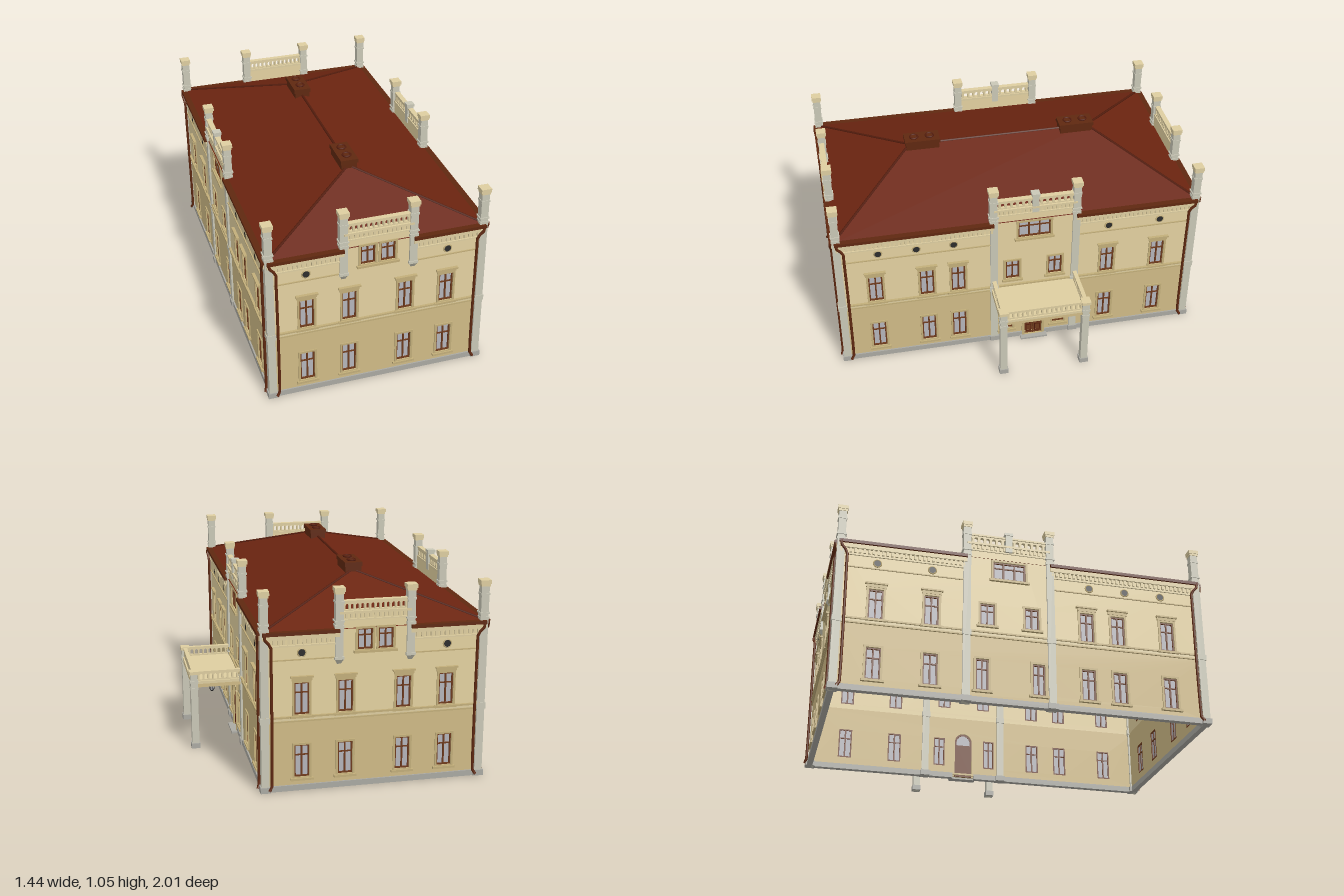
import * as THREE from 'three';
import { mergeGeometries } from 'three/addons/utils/BufferGeometryUtils.js';

const C = { lower: 0xcfba86, upper: 0xe3d1a0, trim: 0xc2ae7a, cream: 0xddcda0, stone: 0xc9c7b6, plinth: 0xaaa9a2,
  wood: 0x6e3a1c, glass: 0xb4b4ba, roof: 0x6b2410, tile: 0x551d0d, pipe: 0x5f2810, dark: 0x2c2c2c };

// Collects geometries per part name and merges each part into one mesh
function collector(name) {
  const parts = new Map();
  return {
    add(part, color, ...geos) {
      if (!parts.has(part)) parts.set(part, { color, list: [] });
      for (const g of geos) {
        const n = g.index ? g.toNonIndexed() : g;
        n.deleteAttribute('uv');
        parts.get(part).list.push(n);
      }
    },
    build() {
      const group = new THREE.Group();
      group.name = name;
      for (const [part, { color, list }] of parts) {
        const mat = new THREE.MeshStandardMaterial({ color, side: THREE.DoubleSide });
        const mesh = new THREE.Mesh(mergeGeometries(list), mat);
        mesh.name = part;
        group.add(mesh);
      }
      return group;
    },
  };
}

const box = (x0, x1, y0, y1, z0, z1) =>
  new THREE.BoxGeometry(x1 - x0, y1 - y0, z1 - z0).translate((x0 + x1) / 2, (y0 + y1) / 2, (z0 + z1) / 2);
const post = (x, z, w, y0, y1) => box(x - w / 2, x + w / 2, y0, y1, z - w / 2, z + w / 2);
const poly = (pts, T = THREE.Shape) => new T(pts.map((p) => new THREE.Vector2(...p)));
const rect = (x0, x1, y0, y1, T) => poly([[x0, y0], [x1, y0], [x1, y1], [x0, y1]], T);
const extrude = (shape, z0, z1) =>
  new THREE.ExtrudeGeometry(shape, { depth: z1 - z0, bevelEnabled: false, curveSegments: 8 }).translate(0, 0, z0);
function arch(u, w, y0, y1, T = THREE.Shape) {
  const s = new T();
  s.moveTo(u - w / 2, y0);
  s.lineTo(u + w / 2, y0);
  s.lineTo(u + w / 2, y1 - w / 2);
  s.absarc(u, y1 - w / 2, w / 2, 0, Math.PI, false);
  s.closePath();
  return s;
}
function ring(u0, u1, y0, y1, t) { // rectangular frame, t wide, around an opening
  const s = rect(u0 - t, u1 + t, y0 - t, y1 + t);
  s.holes.push(rect(u0, u1, y0, y1, THREE.Path));
  return s;
}
function arcade(u0, u1, y0, y1, n, z0, z1) { // pierced parapet with round arches
  const s = rect(u0, u1, y0, y1), step = (u1 - u0) / n;
  for (let i = 0; i < n; i++) s.holes.push(arch(u0 + (i + 0.5) * step, step * 0.62, y0 + 0.008, y1 - 0.01, THREE.Path));
  return extrude(s, z0, z1);
}
function rod(a, b, r) {
  const path = new THREE.LineCurve3(new THREE.Vector3(...a), new THREE.Vector3(...b));
  return new THREE.TubeGeometry(path, 1, r, 6);
}
function dentils(u0, u1, y0, y1, z0, z1) {
  const n = Math.round((u1 - u0) / 0.024), step = (u1 - u0) / n, out = [];
  for (let i = 0; i < n; i++) out.push(box(u0 + (i + 0.25) * step, u0 + (i + 0.75) * step, y0, y1, z0, z1));
  return out;
}

// Window: opening centred on u, with glazing, casement, moulded surround, sill and optional hood
function addWindow(c, d, { u, y0, y1, w = 0.075, panes = 2, hood }) {
  const a = u - w / 2, b = u + w / 2, split = y0 + (y1 - y0) * 0.68;
  c.add('windowGlass', C.glass, box(a, b, y0, y1, d - 0.014, d - 0.011));
  c.add('windowFrames', C.wood, extrude(ring(a + 0.007, b - 0.007, y0 + 0.007, y1 - 0.007, 0.007), d - 0.02, d - 0.003),
    box(a, b, split - 0.003, split + 0.003, d - 0.018, d - 0.005));
  for (let i = 1; i < panes; i++) {
    const m = a + (w * i) / panes;
    c.add('windowFrames', C.wood, box(m - 0.004, m + 0.004, y0, y1, d - 0.018, d - 0.004));
  }
  c.add('windowSurrounds', C.trim, extrude(ring(a, b, y0, y1, 0.011), d - 0.002, d + 0.006),
    box(a - 0.02, b + 0.02, y0 - 0.016, y0 - 0.004, d, d + 0.014));
  if (hood) c.add('windowSurrounds', C.trim, box(a - 0.014, b + 0.014, y1 + 0.01, y1 + 0.026, d, d + 0.008),
    box(a - 0.02, b + 0.02, y1 + 0.026, y1 + 0.035, d, d + 0.016));
}

// Arched double door with fanlight, surround, shelf and step
function addDoor(c, d, u) {
  const leaf = arch(u, 0.1, 0.01, 0.275);
  leaf.holes.push(arch(u, 0.078, 0.205, 0.264, THREE.Path));
  const frame = arch(u, 0.126, 0.01, 0.29);
  frame.holes.push(arch(u, 0.1, 0.01, 0.275, THREE.Path));
  c.add('door', C.wood, extrude(leaf, d - 0.014, d), box(u - 0.003, u + 0.003, 0.01, 0.27, d, d + 0.004));
  for (const s of [-1, 1]) for (const [y0, y1] of [[0.025, 0.075], [0.085, 0.19]])
    c.add('doorPanels', C.tile, extrude(ring(u + s * 0.025 - 0.012, u + s * 0.025 + 0.012, y0 + 0.004, y1 - 0.004, 0.004), d, d + 0.004));
  c.add('fanlight', C.glass, extrude(arch(u, 0.08, 0.203, 0.266), d - 0.012, d - 0.006));
  c.add('doorSurround', C.trim, extrude(frame, d - 0.01, d + 0.012), box(u - 0.12, u + 0.12, 0.304, 0.315, d, d + 0.025));
  for (const s of [-1, 1]) c.add('doorSurround', C.trim, box(u + s * 0.092 - 0.007, u + s * 0.092 + 0.007, 0.265, 0.304, d, d + 0.016));
  c.add('doorStep', C.plinth, box(u - 0.075, u + 0.075, 0, 0.01, d, d + 0.04));
}

// One wall, drawn facing +z at distance d, then turned into place
function facade({ name, angle, d, u0, u1, gable, windows, oculi, door, middlePost }) {
  const c = collector(name), [g0, g1] = gable, mid = (g0 + g1) / 2;
  const lower = rect(u0, u1, 0.02, 0.37);
  const upper = poly([[u0, 0.37], [u1, 0.37], [u1, 0.825], [g1, 0.825], [g1, 0.91], [g0, 0.91], [g0, 0.825], [u0, 0.825]]);
  for (const w of windows) {
    const h = w.w ?? 0.075;
    (w.y0 < 0.3 ? lower : upper).holes.push(rect(w.u - h / 2, w.u + h / 2, w.y0, w.y1, THREE.Path));
    addWindow(c, d, w);
  }
  if (door !== undefined) {
    lower.holes.push(arch(door, 0.1, 0.03, 0.275, THREE.Path));
    addDoor(c, d, door);
  }
  c.add('groundFloorWall', C.lower, extrude(lower, d - 0.02, d));
  c.add('upperWall', C.upper, extrude(upper, d - 0.02, d));
  // Plinth, left open at the door
  const runs = door === undefined ? [[u0, u1]] : [[u0, door - 0.063], [door + 0.063, u1]];
  for (const [a, b] of runs) c.add('plinth', C.plinth, box(a, b, 0, 0.03, d - 0.022, d + 0.008));
  c.add('stringCourse', C.trim, box(u0, u1, 0.364, 0.372, d, d + 0.008), box(u0, u1, 0.386, 0.395, d, d + 0.012));
  c.add('floorBand', C.cream, box(u0, u1, 0.372, 0.386, d, d + 0.005));
  // Cornice and gutter on both sides of the raised gable
  for (const [a, b] of [[u0, g0], [g1, u1]]) {
    c.add('cornice', C.cream, box(a, b, 0.788, 0.812, d, d + 0.014), box(a, b, 0.75, 0.758, d, d + 0.007),
      ...dentils(a, b, 0.764, 0.788, d, d + 0.01));
    c.add('stringCourse', C.trim, box(a, b, 0.68, 0.686, d, d + 0.006));
    c.add('gutter', C.pipe, box(a, b, 0.811, 0.828, d - 0.02, d + 0.024));
  }
  // Gable frieze and pierced parapet
  c.add('gableParapet', C.cream, box(g0, g1, 0.9, 0.912, d - 0.022, d + 0.012), ...dentils(g0, g1, 0.878, 0.9, d, d + 0.008),
    box(g0, g1, 0.865, 0.872, d, d + 0.006), arcade(g0, g1, 0.91, 0.957, 14, d - 0.016, d + 0.002),
    box(g0, g1, 0.955, 0.965, d - 0.02, d + 0.008));
  if (middlePost) c.add('middlePost', C.stone, post(mid, d - 0.007, 0.036, 0.875, 0.985), post(mid, d - 0.007, 0.044, 0.975, 0.99));
  for (const u of oculi) {
    c.add('oculi', C.dark, new THREE.CylinderGeometry(0.018, 0.018, 0.026, 16).rotateX(Math.PI / 2).translate(u, 0.717, d - 0.01));
    c.add('oculusRings', C.trim, new THREE.TorusGeometry(0.02, 0.004, 6, 16).translate(u, 0.717, d));
  }
  // Downpipes beside the corners
  for (const [e, s] of [[u0, 1], [u1, -1]]) {
    const pts = [[0.008, 0.82, 0.018], [0.012, 0.795, 0.02], [0.04, 0.76, 0.014], [0.042, 0.7, 0.014],
      [0.042, 0.06, 0.014], [0.04, 0.03, 0.015], [0.028, 0.012, 0.022]].map(([u, y, w]) => new THREE.Vector3(e + s * u, y, d + w));
    c.add('downpipes', C.pipe, new THREE.TubeGeometry(new THREE.CatmullRomCurve3(pts, false, 'centripetal'), 30, 0.0075, 8));
  }
  const group = c.build();
  group.rotation.y = angle;
  return group;
}

// Pier with base, rings and cap; a raised start hangs on a tapered corbel
function addPier(c, x, z, y0) {
  c.add('pierShafts', C.stone, post(x, z, 0.04, y0, 1.01));
  if (y0 === 0) c.add('pierBases', C.plinth, post(x, z, 0.052, 0, 0.03));
  else c.add('pierCorbels', C.stone, post(x, z, 0.048, y0, y0 + 0.014),
    new THREE.CylinderGeometry(0.03, 0.014, 0.024, 4).rotateY(Math.PI / 4).translate(x, y0 - 0.012, z));
  const rings = [[0.046, 0.83, 0.845], [0.05, 0.86, 0.868], [0.046, 0.955, 0.965]];
  if (y0 === 0) rings.push([0.048, 0.364, 0.395]);
  for (const r of rings) c.add('pierRings', C.stone, post(x, z, ...r));
  c.add('pierCaps', C.cream, post(x, z, 0.046, 1.0, 1.012), post(x, z, 0.053, 1.012, 1.032));
}

function buildRoof() {
  const c = collector('roof'), e = 0.824, x0 = -0.7, x1 = 0.435, z1 = 0.98, rx = -0.132, rz = 0.5, ry = 1.0;
  const A = [x0, e, z1], B = [x1, e, z1], D = [x1, e, -z1], E = [x0, e, -z1], F = [rx, ry, rz], G = [rx, ry, -rz];
  const tri = [A, B, F, B, D, G, B, G, F, D, E, G, E, A, F, E, F, G];
  const g = new THREE.BufferGeometry();
  g.setAttribute('position', new THREE.Float32BufferAttribute(tri.flat(), 3));
  g.computeVertexNormals();
  c.add('roofSlopes', C.roof, g);
  c.add('ridgeTiles', C.tile, rod(F, G, 0.007), ...[[A, F], [B, F], [D, G], [E, G]].map(([p, q]) => rod(p, q, 0.007)));
  // Chimneys with two round flues each
  for (const z of [-0.43, 0.43]) {
    c.add('chimneys', C.pipe, box(rx - 0.042, rx + 0.042, 0.94, 1.02, z - 0.09, z + 0.09),
      box(rx - 0.047, rx + 0.047, 1.02, 1.042, z - 0.096, z + 0.096));
    for (const s of [-1, 1]) {
      c.add('flueRims', C.tile, new THREE.TorusGeometry(0.021, 0.005, 6, 16).rotateX(Math.PI / 2).translate(rx, 1.046, z + s * 0.043));
      c.add('flues', C.pipe, new THREE.CylinderGeometry(0.02, 0.02, 0.008, 16).translate(rx, 1.043, z + s * 0.043));
    }
  }
  return c.build();
}

function buildPorch() {
  const c = collector('porch'), x0 = 0.43, x1 = 0.69, za = -0.308, zb = 0.14;
  c.add('deck', C.cream, box(x0, x1 + 0.015, 0.365, 0.38, za - 0.015, zb + 0.015));
  c.add('beams', C.lower, box(x1 - 0.015, x1 + 0.012, 0.345, 0.366, za, zb),
    ...[za, zb].map((z) => box(x0, x1, 0.345, 0.366, z - 0.013, z + 0.013)));
  // Balustrade along three sides
  c.add('balustrade', C.cream, arcade(x0, x1, 0.38, 0.428, 10, -0.007, 0.007).translate(0, 0, za),
    arcade(x0, x1, 0.38, 0.428, 10, -0.007, 0.007).translate(0, 0, zb),
    arcade(-zb, -za, 0.38, 0.428, 17, -0.007, 0.007).rotateY(Math.PI / 2).translate(x1, 0, 0),
    ...[za, zb].map((z) => box(x0, x1, 0.424, 0.434, z - 0.011, z + 0.011)),
    box(x1 - 0.011, x1 + 0.011, 0.424, 0.434, za, zb));
  for (const z of [za, zb]) {
    c.add('porchPosts', C.stone, post(x1, z, 0.038, 0, 0.425), post(x1, z, 0.044, 0.335, 0.345), post(x1, z, 0.044, 0.372, 0.382));
    c.add('porchPostBases', C.plinth, post(x1, z, 0.048, 0, 0.028));
    c.add('porchPostCaps', C.cream, post(x1, z, 0.05, 0.42, 0.437));
  }
  // Hanging lantern
  const lx = 0.567, lz = -0.084, cyl = (r1, r0, y0, y1) => new THREE.CylinderGeometry(r1, r0, y1 - y0, 6).translate(lx, (y0 + y1) / 2, lz);
  c.add('lanternFrame', C.dark, cyl(0.0015, 0.0015, 0.295, 0.366), cyl(0.004, 0.019, 0.28, 0.298), cyl(0.012, 0.008, 0.238, 0.245));
  for (let i = 0; i < 6; i++) {
    const a = (i * Math.PI) / 3, p = (r, y) => [lx + r * Math.sin(a), y, lz + r * Math.cos(a)];
    c.add('lanternFrame', C.dark, rod(p(0.011, 0.243), p(0.017, 0.281), 0.002));
  }
  c.add('lanternGlass', C.glass, cyl(0.016, 0.01, 0.245, 0.28));
  return c.build();
}

export function createModel() {
  const model = new THREE.Group();
  model.name = 'villa';
  const low = (u) => ({ u, y0: 0.07, y1: 0.24 }), high = (u) => ({ u, y0: 0.4, y1: 0.565, hood: true });

  // Short ends: s mirrors positions for the back
  for (const s of [1, -1]) {
    const cols = [-0.5, -0.28, 0.015, 0.235].map((u) => u * s), span = (a, b) => [a * s, b * s].sort((p, q) => p - q);
    const [u0, u1] = span(-0.695, 0.43);
    model.add(facade({ name: s > 0 ? 'frontWall' : 'backWall', angle: s > 0 ? 0 : Math.PI, d: 0.975, u0, u1, gable: span(-0.31, 0.05),
      windows: [...cols.map(low), ...cols.map(high), ...[-0.185, -0.081].map((u) => ({ u: u * s, y0: 0.715, y1: 0.82 }))],
      oculi: [-0.5 * s, 0.235 * s] }));
  }
  // Long sides: the right one has the entrance
  for (const s of [-1, 1]) {
    const right = s < 0, cols = [0.78, 0.505, 0.335, -0.49, -0.775].map((z) => z * s);
    const bay = [0.07, -0.225].map((z) => z * s), gable = [0.14 * s, -0.308 * s].sort((p, q) => p - q);
    model.add(facade({ name: right ? 'rightWall' : 'leftWall', angle: right ? Math.PI / 2 : -Math.PI / 2, d: right ? 0.43 : 0.695,
      u0: -0.975, u1: 0.975, gable, middlePost: true, door: right ? 0.081 : undefined,
      windows: [...cols.map(low), ...cols.map(high), ...bay.map((u) => ({ ...low(u), w: 0.065 })),
        ...[0.038, -0.198].map((z) => ({ u: z * s, y0: 0.435, y1: 0.555 })), { u: -0.081 * s, y0: 0.71, y1: 0.81, w: 0.175, panes: 3 }],
      oculi: [0.755, 0.553, 0.355, -0.49, -0.775].map((z) => z * s) }));
  }
  // Corner, bay and gable piers
  const piers = collector('piers');
  for (const x of [-0.685, 0.42]) for (const z of [-0.966, -0.308, 0.14, 0.966]) addPier(piers, x, z, 0);
  for (const x of [-0.31, 0.05]) for (const z of [-0.966, 0.966]) addPier(piers, x, z, 0.672);
  model.add(piers.build(), buildRoof(), buildPorch());
  return model;
}
